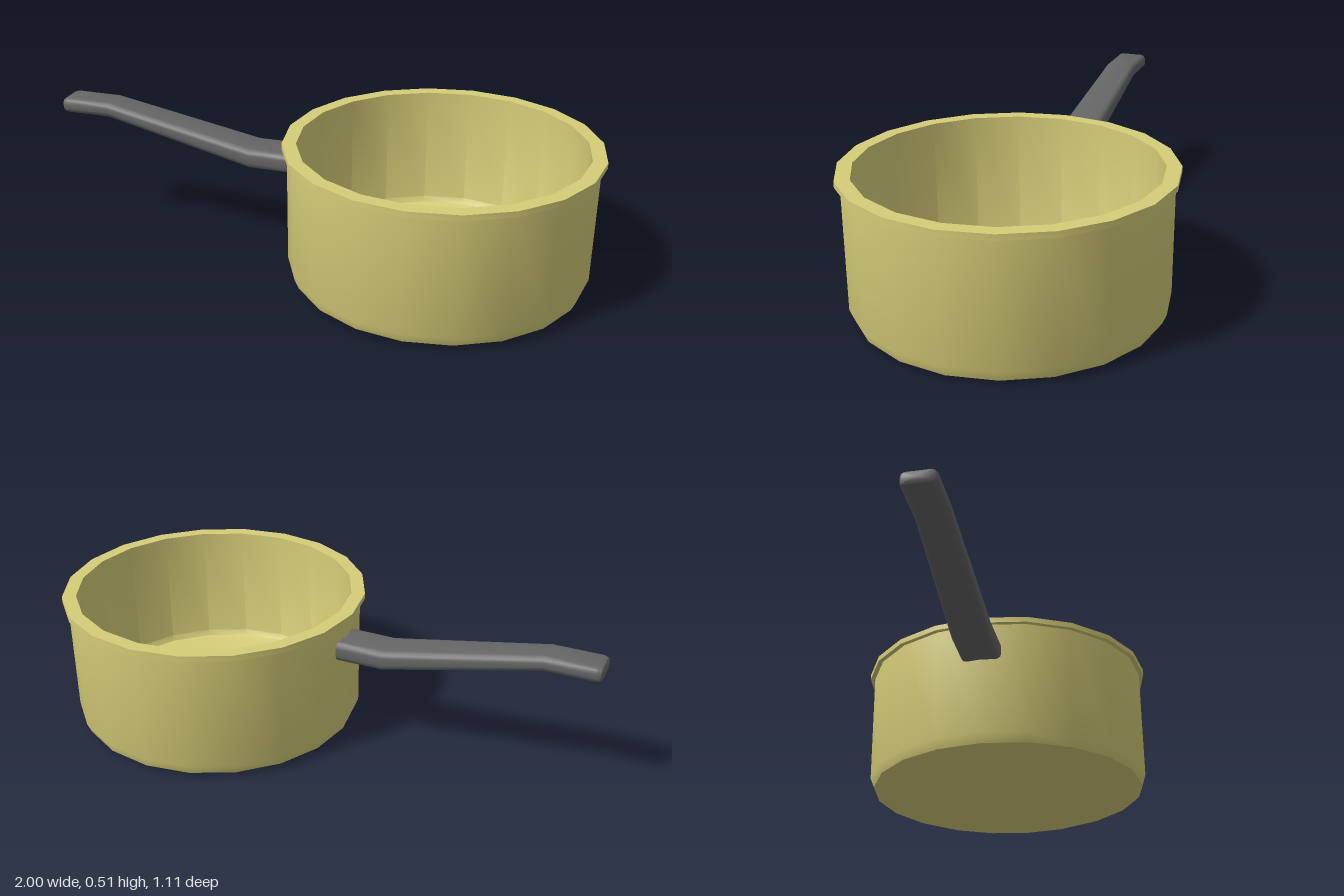
import * as THREE from 'three';
import { toCreasedNormals } from 'three/addons/utils/BufferGeometryUtils.js';

const CREASE = 0.6;

// Lofts rounded-rectangle sections along x: [x, centre y, half height, half width, corner radius]
function loftHandle(sections, steps = 3) {
  const positions = [], index = [], n = 4 * (steps + 1);
  for (const [x, y, h, w, r] of sections) {
    for (let c = 0; c < 4; c++) {
      const sz = c === 0 || c === 3 ? 1 : -1, sy = c < 2 ? 1 : -1;
      for (let s = 0; s <= steps; s++) {
        const a = (c + s / steps) * Math.PI / 2;
        positions.push(x, y + sy * (h - r) + r * Math.sin(a), sz * (w - r) + r * Math.cos(a));
      }
    }
  }
  for (let i = 0; i < sections.length - 1; i++) {
    for (let j = 0; j < n; j++) {
      const k = (j + 1) % n, a = i * n, b = a + n;
      index.push(a + j, b + j, a + k, b + j, b + k, a + k);
    }
  }
  // End caps
  const last = sections.length - 1, centre = sections.length * n;
  for (const i of [0, last]) positions.push(sections[i][0], sections[i][1], 0);
  for (let j = 0; j < n; j++) {
    const k = (j + 1) % n;
    index.push(centre, j, k, centre + 1, last * n + k, last * n + j);
  }
  const geometry = new THREE.BufferGeometry();
  geometry.setAttribute('position', new THREE.Float32BufferAttribute(positions, 3));
  geometry.setIndex(index);
  return toCreasedNormals(geometry, CREASE);
}

export function createModel() {
  const model = new THREE.Group();
  model.name = 'saucepan';

  // Pot: outside wall, flat lip and hollow inside in one 20-sided profile
  const profile = [
    [0, 0], [0.485, 0], [0.523, 0.015], [0.537, 0.05], [0.537, 0.475],
    [0.555, 0.475], [0.555, 0.495], [0.505, 0.495],
    [0.505, 0.055], [0.493, 0.035], [0.465, 0.025], [0, 0.025],
  ].map(([r, y]) => new THREE.Vector2(r, y));
  const pot = new THREE.Mesh(
    toCreasedNormals(new THREE.LatheGeometry(profile, 20), CREASE),
    new THREE.MeshStandardMaterial({ color: 0xd6cd78 })
  );
  pot.name = 'pot';
  pot.position.x = 0.445;
  model.add(pot);

  // Handle: flat grip, sloping shank, flat root set into the pot wall
  const handle = new THREE.Mesh(
    loftHandle([
      [-1, 0.487, 0.014, 0.046, 0.01],
      [-0.994, 0.487, 0.023, 0.055, 0.016],
      [-0.98, 0.487, 0.0275, 0.06, 0.02],
      [-0.81, 0.487, 0.0275, 0.06, 0.02],
      [-0.25, 0.37, 0.036, 0.072, 0.022],
      [-0.072, 0.37, 0.036, 0.074, 0.022],
    ]),
    new THREE.MeshStandardMaterial({ color: 0x666666 })
  );
  handle.name = 'handle';
  model.add(handle);

  return model;
}
